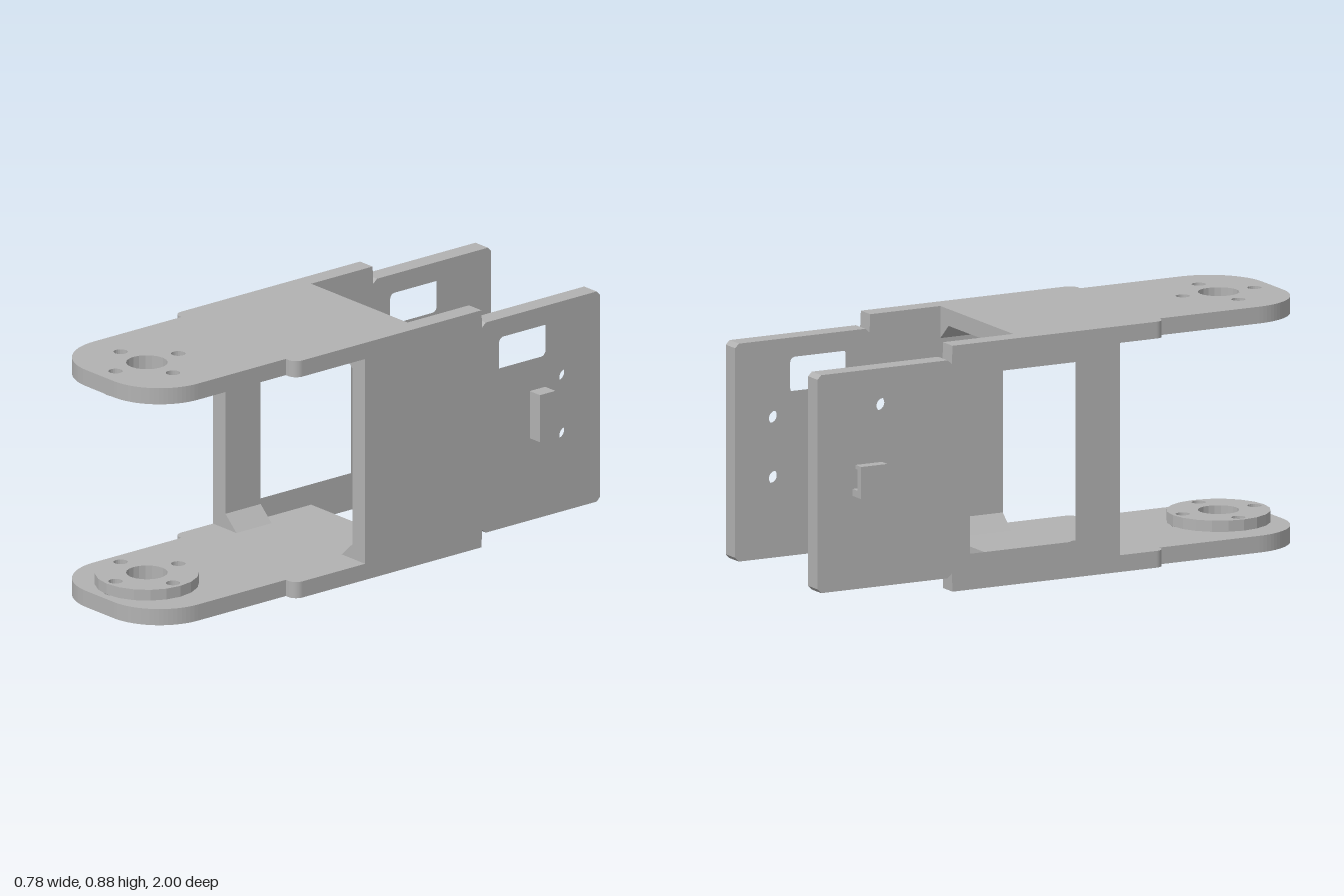
import * as THREE from 'three';

const metal = new THREE.MeshStandardMaterial({ color: 0xb2b2b2 });
metal.name = 'light grey';

const XL = -0.328, XR = 0.334, WALL = 0.068;   // outer wall faces and wall thickness
const H = 0.88, T = 0.06;                      // overall height and plate thickness
const HUB_Z = 0.785;

function circle(x, y, r) {
  return new THREE.Path().absarc(x, y, r, 0, Math.PI * 2, true);
}

function polygon(points, Type = THREE.Shape) {
  return new Type(points.map(([x, y]) => new THREE.Vector2(x, y)));
}

function rect(a0, a1, b0, b1) {
  return polygon([[a0, b0], [a0, b1], [a1, b1], [a1, b0]], THREE.Path);
}

function roundRect(a0, a1, b0, b1, r) {
  const p = new THREE.Path();
  p.absarc(a0 + r, b0 + r, r, -Math.PI / 2, -Math.PI, true);
  p.absarc(a0 + r, b1 - r, r, Math.PI, Math.PI / 2, true);
  p.absarc(a1 - r, b1 - r, r, Math.PI / 2, 0, true);
  p.absarc(a1 - r, b0 + r, r, 0, -Math.PI / 2, true);
  return p;
}

function add(group, name, geometry) {
  const mesh = new THREE.Mesh(geometry, metal);
  mesh.name = name;
  group.add(mesh);
}

function extrude(shape, depth) {
  return new THREE.ExtrudeGeometry(shape, { depth, bevelEnabled: false, curveSegments: 10 });
}

// shape drawn in (x, z), occupying y0..y1
function flat(shape, y0, y1) {
  return extrude(shape, y1 - y0).rotateX(Math.PI / 2).translate(0, y1, 0);
}

// shape drawn in (z, y), occupying x0..x1
function upright(shape, x0, x1) {
  return extrude(shape, x1 - x0).rotateY(-Math.PI / 2).translate(x1, 0, 0);
}

function drill(shape, hubRadius, screwRadius) {
  shape.holes.push(circle(0, HUB_Z, hubRadius));
  if (screwRadius) {
    for (const [dx, dz] of [[0.143, 0], [-0.143, 0], [0, 0.143], [0, -0.143]]) {
      shape.holes.push(circle(dx, HUB_Z + dz, screwRadius));
    }
  }
  return shape;
}

// plate with wide body, stepped shoulders and a rounded arm
function plateShape() {
  const s = new THREE.Shape();
  const w = 0.285, r = 0.21, c = 0.035, shoulder = 0.39;
  s.moveTo(XL, -0.18);
  s.lineTo(XR, -0.18);
  s.lineTo(XR, shoulder - c);
  s.absarc(XR - c, shoulder - c, c, 0, Math.PI / 2, false);
  s.lineTo(w, shoulder);
  s.lineTo(w, 1 - r);
  s.absarc(w - r, 1 - r, r, 0, Math.PI / 2, false);
  s.absarc(r - w, 1 - r, r, Math.PI / 2, Math.PI, false);
  s.lineTo(-w, shoulder);
  s.lineTo(XL + c, shoulder);
  s.absarc(XL + c, shoulder - c, c, Math.PI / 2, Math.PI, false);
  s.closePath();
  return s;
}

// side wall: stepped front under the plates, notched rear panel
function wallShape(front) {
  const lower = [
    [front, T], [-0.18, T], [-0.18, 0], [-0.46, 0], [-0.463, 0.065],
    [-0.48, 0.05], [-0.985, 0.05], [-1, 0.065],
  ];
  const upper = lower.map(([z, y]) => [z, H - y]).reverse();
  const s = polygon([...lower, ...upper]);
  s.holes.push(roundRect(-0.78, -0.54, 0.63, 0.76, 0.02));
  return s;
}

function screwHoles(shape, zs) {
  for (const z of zs) for (const y of [0.335, 0.55]) shape.holes.push(circle(z, y, 0.025));
}

const groove = () => rect(-0.475, -0.462, 0.09, 0.79);

export function createModel() {
  const group = new THREE.Group();

  // plates
  add(group, 'topPlate', flat(drill(plateShape(), 0.073, 0.025), H - T, H));
  add(group, 'bottomPlate', flat(drill(plateShape(), 0.076, 0.042), 0, T));

  // round bosses facing each other on the arms
  const disc = () => new THREE.Shape().absarc(0, HUB_Z, 0.183, 0, Math.PI * 2, false);
  add(group, 'topBoss', flat(drill(disc(), 0.073, 0), 0.8, H - T));
  add(group, 'bottomBoss', flat(drill(disc(), 0.073, 0.025), T, 0.1));

  // walls in two layers, the inner one carrying the bend groove
  const half = WALL / 2;
  for (const inner of [false, true]) {
    const layer = inner ? 'Inner' : 'Outer';

    const left = wallShape(0.07);
    screwHoles(left, [-0.41, -0.84]);
    left.holes.push(rect(-0.435, -0.37, 0.4, 0.49));
    if (inner) left.holes.push(groove());
    const xl = inner ? XR - WALL : XR - half;
    add(group, 'leftWall' + layer, upright(left, xl, xl + half));

    const right = wallShape(0.21);
    right.holes.push(rect(-0.39, 0.05, 0.12, 0.77));
    if (inner) {
      right.holes.push(groove());
      screwHoles(right, [-0.84]);
    }
    const xr = inner ? XL + half : XL;
    add(group, 'rightWall' + layer, upright(right, xr, xr + half));
  }

  // triangular gussets where walls meet plates
  const gusset = (x, dir, y, up, z0, z1) => {
    const pts = [[x, y], [x + dir * 0.06, y], [x, y + up * 0.055]];
    add(group, 'gusset', extrude(polygon(pts), z1 - z0).translate(0, 0, z0));
  };
  for (const [y, up] of [[T, 1], [H - T, -1]]) {
    gusset(XR - WALL, -1, y, up, -0.18, 0.07);
    gusset(XL + WALL, 1, y, up, 0.05, 0.21);
  }

  // stop block on the left wall
  add(group, 'stopBlock', new THREE.BoxGeometry(0.056, 0.175, 0.07).translate(XR + 0.028, 0.4425, -0.715));

  // hooked clip on the right wall
  const hook = polygon([
    [XL, 0.385], [XL, 0.41], [-0.365, 0.41], [-0.365, 0.486],
    [-0.35, 0.486], [-0.35, 0.5], [-0.39, 0.5], [-0.39, 0.385],
  ]);
  add(group, 'hookClip', extrude(hook, 0.105).translate(0, 0, -0.86));

  return group;
}
